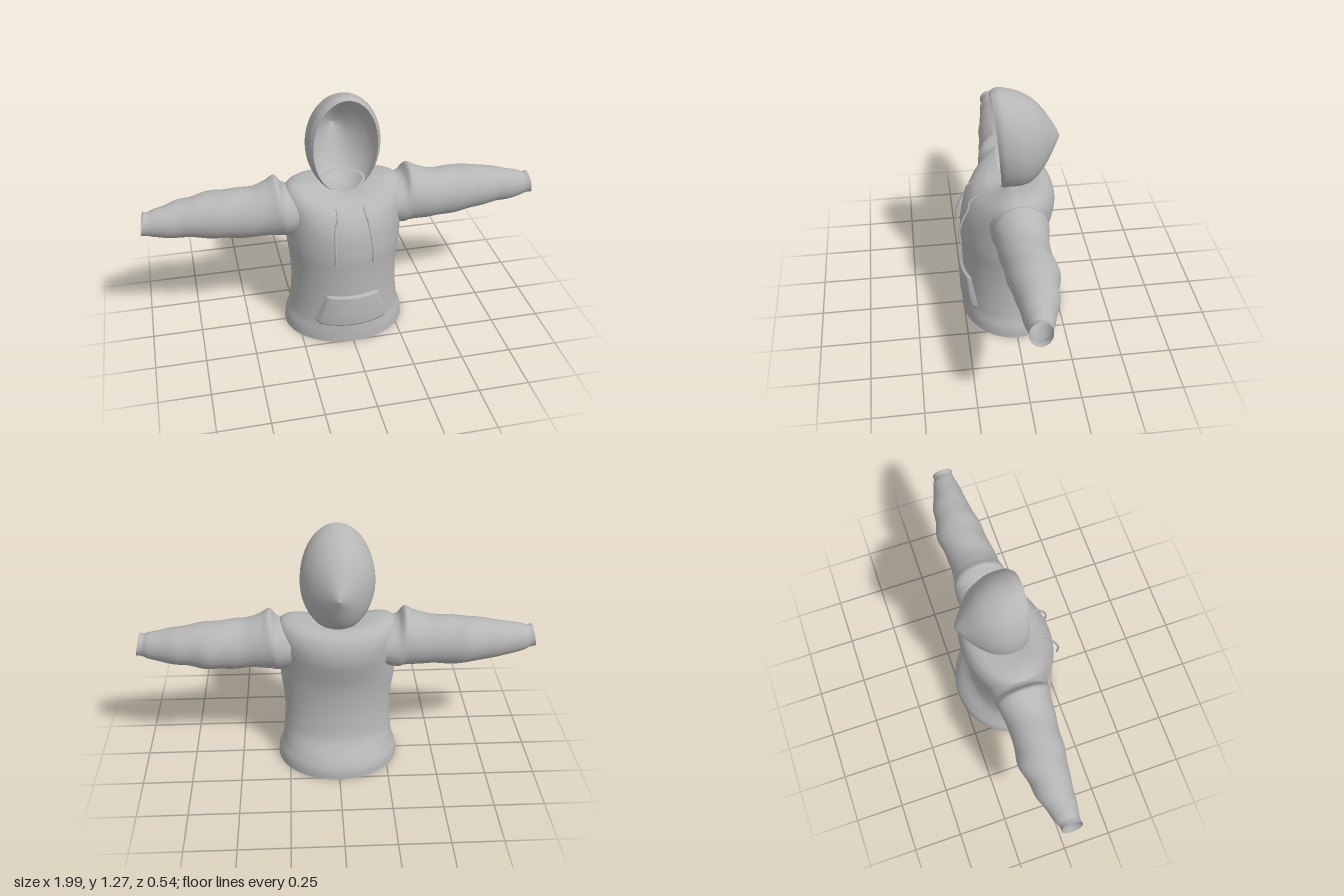
import * as THREE from 'three';

const cloth = new THREE.MeshStandardMaterial({ color: 0xb6b6b6, side: THREE.DoubleSide });
cloth.name = 'grey cloth';

// Catmull-Rom sample of a table of rows at t in 0..1
function sampleRows(rows, t) {
  const f = t * (rows.length - 1), i = Math.min(Math.floor(f), rows.length - 2), u = f - i;
  const row = (k) => rows[Math.max(0, Math.min(rows.length - 1, k))];
  const [p, a, b, n] = [row(i - 1), row(i), row(i + 1), row(i + 2)];
  return a.map((_, k) => 0.5 * (2 * a[k] + (b[k] - p[k]) * u
    + (2 * p[k] - 5 * a[k] + 4 * b[k] - n[k]) * u * u
    + (3 * a[k] - p[k] - 3 * b[k] + n[k]) * u * u * u));
}

// Skin rings of points; point(t, a) gives [x, y, z]; skip(x, y, z) leaves an opening
function loft(rings, sides, point, skip) {
  const pos = [], index = [];
  for (let i = 0; i <= rings; i++)
    for (let j = 0; j < sides; j++) pos.push(...point(i / rings, (j / sides) * Math.PI * 2));
  for (let i = 0; i < rings; i++)
    for (let j = 0; j < sides; j++) {
      const k = (j + 1) % sides;
      const a = i * sides + j, b = i * sides + k, c = a + sides, d = b + sides;
      if (skip && skip(pos[a * 3], pos[a * 3 + 1], pos[a * 3 + 2])) continue;
      index.push(a, b, c, b, d, c);
    }
  return finish(pos, index);
}

function finish(pos, index) {
  const g = new THREE.BufferGeometry();
  g.setAttribute('position', new THREE.Float32BufferAttribute(pos, 3));
  g.setIndex(index);
  g.computeVertexNormals();
  return g;
}

// Torso rows: y at front, side and back, half width, front z, back z
const torsoRows = [
  [0, 0, 0, 0.31, 0.258, -0.268],
  [0.05, 0.05, 0.05, 0.305, 0.256, -0.264],
  [0.1, 0.1, 0.1, 0.288, 0.252, -0.238],
  [0.15, 0.15, 0.15, 0.28, 0.25, -0.2],
  [0.2, 0.2, 0.2, 0.275, 0.248, -0.176],
  [0.3, 0.3, 0.3, 0.27, 0.248, -0.163],
  [0.4, 0.4, 0.4, 0.275, 0.25, -0.163],
  [0.5, 0.5, 0.5, 0.287, 0.255, -0.175],
  [0.6, 0.62, 0.6, 0.292, 0.245, -0.203],
  [0.66, 0.7, 0.66, 0.296, 0.225, -0.217],
  [0.71, 0.765, 0.72, 0.296, 0.193, -0.215],
  [0.738, 0.808, 0.775, 0.272, 0.158, -0.193],
  [0.757, 0.822, 0.803, 0.21, 0.115, -0.15],
  [0.765, 0.81, 0.8, 0.1, 0.05, -0.1],
];

function torsoPoint(t, a) {
  const [yf, ys, yb, w, f, b] = sampleRows(torsoRows, t);
  const s = Math.sin(a), c = Math.cos(a);
  const y = ys + ((c > 0 ? yf : yb) - ys) * c * c;
  return [w * s, y, c > 0 ? f * c : -b * c];
}

// Depth of the lower front of the torso, used to lay the pocket on it
function frontZ(x, y) {
  const rows = torsoRows.slice(0, 6);
  let i = 0;
  while (i < rows.length - 2 && rows[i + 1][0] < y) i++;
  const u = (y - rows[i][0]) / (rows[i + 1][0] - rows[i][0]);
  const w = THREE.MathUtils.lerp(rows[i][3], rows[i + 1][3], u);
  const f = THREE.MathUtils.lerp(rows[i][4], rows[i + 1][4], u);
  return f * Math.sqrt(Math.max(0, 1 - (x / w) ** 2));
}

// Sleeve rows: x, top y, bottom y, front z, back z
const sleeveRows = [
  [0.23, 0.79, 0.56, 0.13, -0.15],
  [0.295, 0.806, 0.542, 0.128, -0.15],
  [0.332, 0.85, 0.545, 0.125, -0.145],
  [0.38, 0.826, 0.549, 0.117, -0.137],
  [0.45, 0.805, 0.548, 0.11, -0.128],
  [0.55, 0.797, 0.55, 0.1, -0.135],
  [0.64, 0.794, 0.557, 0.092, -0.143],
  [0.73, 0.779, 0.572, 0.078, -0.122],
  [0.8, 0.77, 0.58, 0.066, -0.112],
  [0.87, 0.752, 0.59, 0.062, -0.088],
  [0.93, 0.742, 0.603, 0.05, -0.07],
  [0.96, 0.733, 0.617, 0.046, -0.056],
  [0.985, 0.737, 0.62, 0.05, -0.055],
];

function sleevePoint(side) {
  return (t, a) => {
    const [x, top, bottom, front, back] = sampleRows(sleeveRows, t);
    const c = Math.cos(a), s = Math.sin(a);
    const fold = 1 + 0.018 * Math.sin(x * 38 + 2 * a) * Math.sin(Math.PI * t);
    const tilt = -0.012 * c * THREE.MathUtils.smoothstep(x, 0.9, 0.985);
    return [side * (x + tilt), (top + bottom) / 2 + ((top - bottom) / 2) * c * fold,
      (front + back) / 2 + ((front - back) / 2) * s * side * fold];
  };
}

// Hood rows: top z, top y, bottom z, bottom y, half width
const hoodRows = [
  [0.09, 1.262, 0.05, 0.76, 0.157],
  [0.052, 1.275, 0.03, 0.756, 0.176],
  [-0.03, 1.254, -0.03, 0.757, 0.18],
  [-0.1, 1.215, -0.085, 0.773, 0.157],
  [-0.15, 1.165, -0.135, 0.815, 0.12],
  [-0.2, 1.09, -0.18, 0.885, 0.07],
  [-0.225, 1.045, -0.215, 0.96, 0.033],
  [-0.238, 1.012, -0.238, 1.008, 0.002],
];

function hoodPoint(t, a) {
  const [zt, yt, zb, yb, w] = sampleRows(hoodRows, t);
  const c = Math.cos(a);
  return [w * Math.sin(a), (yt + yb) / 2 + ((yt - yb) / 2) * c,
    (zt + zb) / 2 + ((zt - zb) / 2) * c];
}

// Pocket: a padded patch that follows the belly, its border tucked into the torso
function pocketGeometry() {
  const n = 24, pos = [], index = [];
  for (let i = 0; i <= n; i++)
    for (let j = 0; j <= n; j++) {
      const v = i / n, u = (j / n) * 2 - 1;
      const y = 0.1 + 0.18 * v;
      const half = v < 0.12 ? 0.178 + 0.1 * v : 0.19 - 0.056 * (v - 0.12) / 0.88;
      const x = u * half;
      const edge = i === 0 || i === n || j === 0 || j === n;
      pos.push(x, y, frontZ(x, y) + (edge ? -0.006 : 0.013 + 0.005 * Math.sin(Math.PI * v)));
    }
  for (let i = 0; i < n; i++)
    for (let j = 0; j < n; j++) {
      const a = i * (n + 1) + j, c = a + n + 1;
      index.push(a, a + 1, c, a + 1, c + 1, c);
    }
  return finish(pos, index);
}

export function createModel() {
  const model = new THREE.Group();
  model.name = 'hoodie';
  const add = (name, geometry) => {
    const mesh = new THREE.Mesh(geometry, cloth);
    mesh.name = name;
    model.add(mesh);
  };

  // Body with open hem, neck and armholes
  const armhole = (x, y, z) => Math.abs(x) > 0.2 && Math.hypot(y - 0.68, z) < 0.085;
  add('torso', loft(78, 80, torsoPoint, armhole));
  add('hood', loft(56, 64, hoodPoint));
  add('frontPocket', pocketGeometry());

  for (const side of [1, -1]) {
    const label = side > 0 ? 'left' : 'right';
    add(label + 'Sleeve', loft(72, 40, sleevePoint(side)));

    // Drawstring hanging from the neckline
    const path = [[0.066, 0.738, 0.165], [0.072, 0.705, 0.208], [0.08, 0.675, 0.215],
      [0.089, 0.61, 0.247], [0.093, 0.54, 0.266], [0.093, 0.478, 0.262]]
      .map(([x, y, z]) => new THREE.Vector3(side * x, y, z));
    add(label + 'Drawstring',
      new THREE.TubeGeometry(new THREE.CatmullRomCurve3(path), 32, 0.0055, 8));
  }
  return model;
}
